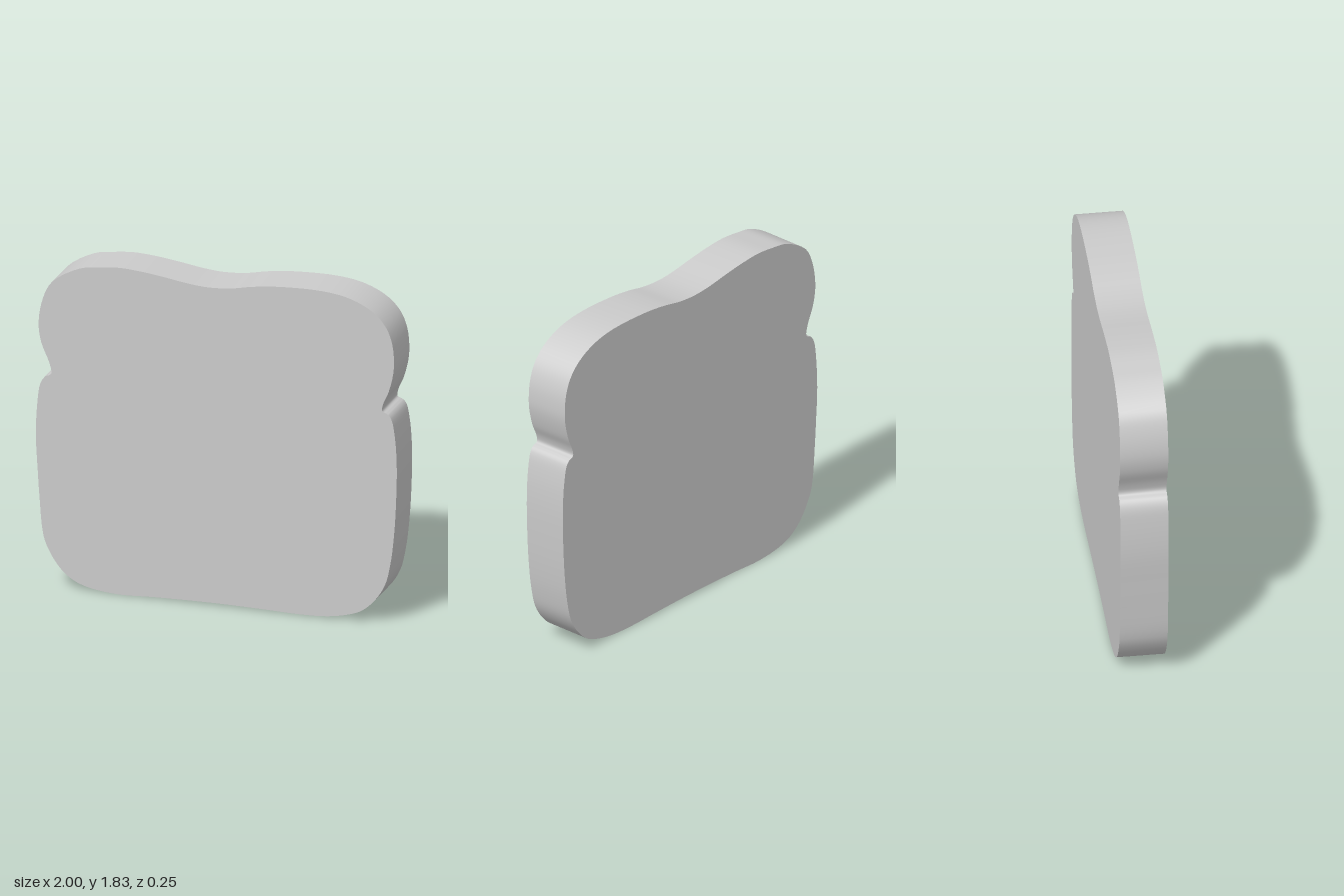
import * as THREE from 'three';
import { toCreasedNormals } from 'three/addons/utils/BufferGeometryUtils.js';

const DEPTH = 0.255;

// Outline of the slice, counter-clockwise from the middle of the base.
const rightSide = [
  [0, 0.012], [0.3, 0.007], [0.46, 0.003], [0.62, 0.01], [0.74, 0.035], [0.81, 0.065],
  [0.88, 0.13], [0.935, 0.22], [0.965, 0.34], [0.985, 0.5], [0.997, 0.7], [1, 0.9],
  [0.99, 1.05], [0.97, 1.15], [0.95, 1.175], [0.92, 1.19], [0.925, 1.23], [0.955, 1.3],
  [0.98, 1.4], [0.985, 1.47], [0.975, 1.57], [0.94, 1.66], [0.87, 1.735], [0.75, 1.795],
  [0.6, 1.822], [0.35, 1.82], [0.2, 1.803], [0.08, 1.78],
];
const leftSide = [
  [-0.04, 1.772], [-0.15, 1.78], [-0.3, 1.803], [-0.42, 1.818], [-0.54, 1.825],
  [-0.65, 1.815], [-0.76, 1.795], [-0.91, 1.705], [-0.96, 1.61], [-0.985, 1.47],
  [-0.97, 1.36], [-0.925, 1.25], [-0.915, 1.19], [-0.95, 1.17], [-0.975, 1.13],
  [-0.99, 1.04], [-1, 0.85], [-0.99, 0.65], [-0.98, 0.5], [-0.957, 0.28],
  [-0.92, 0.19], [-0.86, 0.105], [-0.79, 0.05], [-0.7, 0.018], [-0.54, 0], [-0.35, 0.007],
];

export function createModel() {
  const group = new THREE.Group();
  group.name = 'breadSlice';

  // Smooth closed outline through the points
  const points = [...rightSide, ...leftSide].map(([x, y]) => new THREE.Vector3(x, y, 0));
  const curve = new THREE.CatmullRomCurve3(points, true, 'centripetal');
  const outline = curve.getPoints(points.length * 4).slice(0, -1);
  const shape = new THREE.Shape(outline.map((p) => new THREE.Vector2(p.x, p.y)));

  // Flat faces with a smooth crust and sharp rims
  const geometry = new THREE.ExtrudeGeometry(shape, { depth: DEPTH, bevelEnabled: false });
  geometry.translate(0, 0, -DEPTH / 2);

  const slice = new THREE.Mesh(
    toCreasedNormals(geometry, 0.9),
    new THREE.MeshStandardMaterial({ color: 0xcccccc })
  );
  slice.name = 'slice';
  group.add(slice);
  return group;
}
